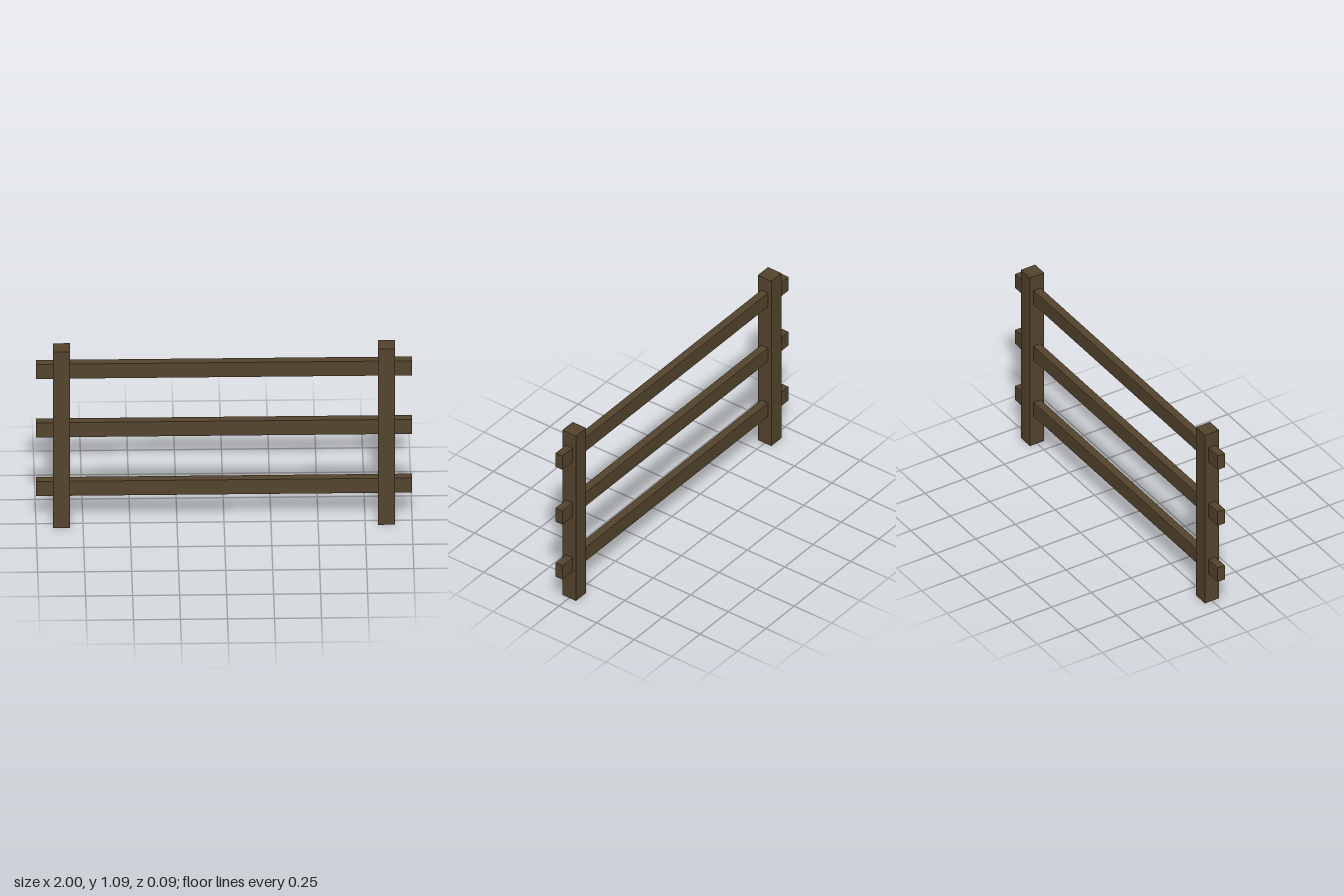
import * as THREE from 'three';

export function createModel() {
  const fence = new THREE.Group();
  fence.name = 'fence';
  const wood = new THREE.MeshStandardMaterial({ color: 0x54442d, flatShading: true });

  function addBeam(name, size, position) {
    const beam = new THREE.Mesh(new THREE.BoxGeometry(...size), wood);
    beam.name = name;
    beam.position.set(...position);
    fence.add(beam);
  }

  // Square upright posts, mirrored left and right
  const postHeight = 1.091;
  for (const [name, side] of [['leftPost', 1], ['rightPost', -1]]) {
    addBeam(name, [0.09, postHeight, 0.09], [side * 0.864, postHeight / 2, 0]);
  }

  // Rails running through both posts
  for (const [name, y] of [['bottomRail', 0.23], ['middleRail', 0.594], ['topRail', 0.957]]) {
    addBeam(name, [2, 0.09, 0.045], [0, y, 0]);
  }

  return fence;
}
